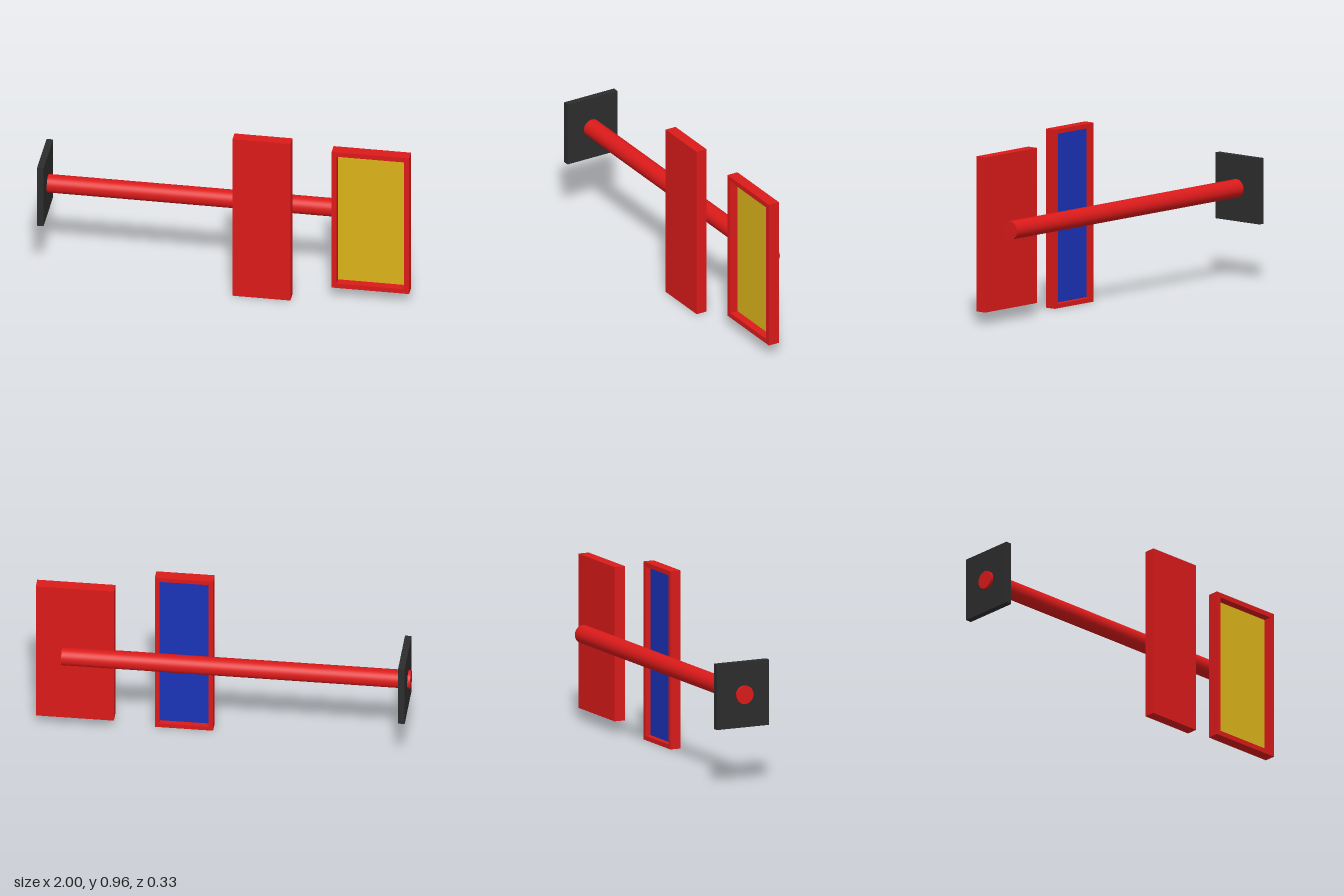
import * as THREE from 'three';

const material = (color) => new THREE.MeshStandardMaterial({ color });

function box(name, mat, x0, x1, y0, y1, z0, z1) {
  const mesh = new THREE.Mesh(new THREE.BoxGeometry(x1 - x0, y1 - y0, z1 - z0), mat);
  mesh.position.set((x0 + x1) / 2, (y0 + y1) / 2, (z0 + z1) / 2);
  mesh.name = name;
  return mesh;
}

// Shallow tray opening towards +z: backing plate, raised rim and a coloured inlay
function framedPanel(name, rimMat, inlayMat, w, h, depth, border, recess) {
  const panel = new THREE.Group();
  panel.name = name;
  const a = w / 2, b = h / 2, c = a - border, d = b - border;
  const floor = depth / 2 - recess;
  const rect = (path, x, y) => path.moveTo(-x, -y).lineTo(x, -y).lineTo(x, y).lineTo(-x, y).closePath();
  const outline = new THREE.Shape();
  rect(outline, a, b);
  const hole = new THREE.Path();
  rect(hole, c, d);
  outline.holes.push(hole);
  const rim = new THREE.Mesh(
    new THREE.ExtrudeGeometry(outline, { depth, bevelEnabled: false }), rimMat);
  rim.position.z = -depth / 2;
  rim.name = 'rim';
  panel.add(rim);
  const mid = (floor - depth / 2) / 2;
  panel.add(box('backing', rimMat, -c, c, -d, d, -depth / 2, mid));
  panel.add(box('inlay', inlayMat, -c, c, -d, d, mid, floor));
  return panel;
}

export function createModel() {
  const model = new THREE.Group();
  model.name = 'signalArm';
  const red = material(0xdc1a1a);

  // Horizontal rod
  const rod = new THREE.Mesh(new THREE.CylinderGeometry(0.049, 0.049, 1.855, 48), red);
  rod.rotation.z = Math.PI / 2;
  rod.position.set(-0.0725, 0.492, -0.005);
  rod.name = 'rod';
  model.add(rod);

  // Mounting plate near the rod's end
  model.add(box('mountingPlate', material(0x2d2d2d), -0.985, -0.95, 0.315, 0.667, -0.165, 0.145));

  // Outer panel, inlay facing the front
  const outer = framedPanel('outerPanel', red, material(0xdcb41a), 0.415, 0.83, 0.062, 0.027, 0.045);
  outer.position.set(0.7925, 0.48, 0.073);
  model.add(outer);

  // Inner panel, turned so its inlay faces the back
  const inner = framedPanel('innerPanel', red, material(0x1a32b8), 0.31, 0.958, 0.061, 0.024, 0.03);
  inner.rotation.y = Math.PI;
  inner.position.set(0.22, 0.479, 0.1345);
  model.add(inner);

  return model;
}
